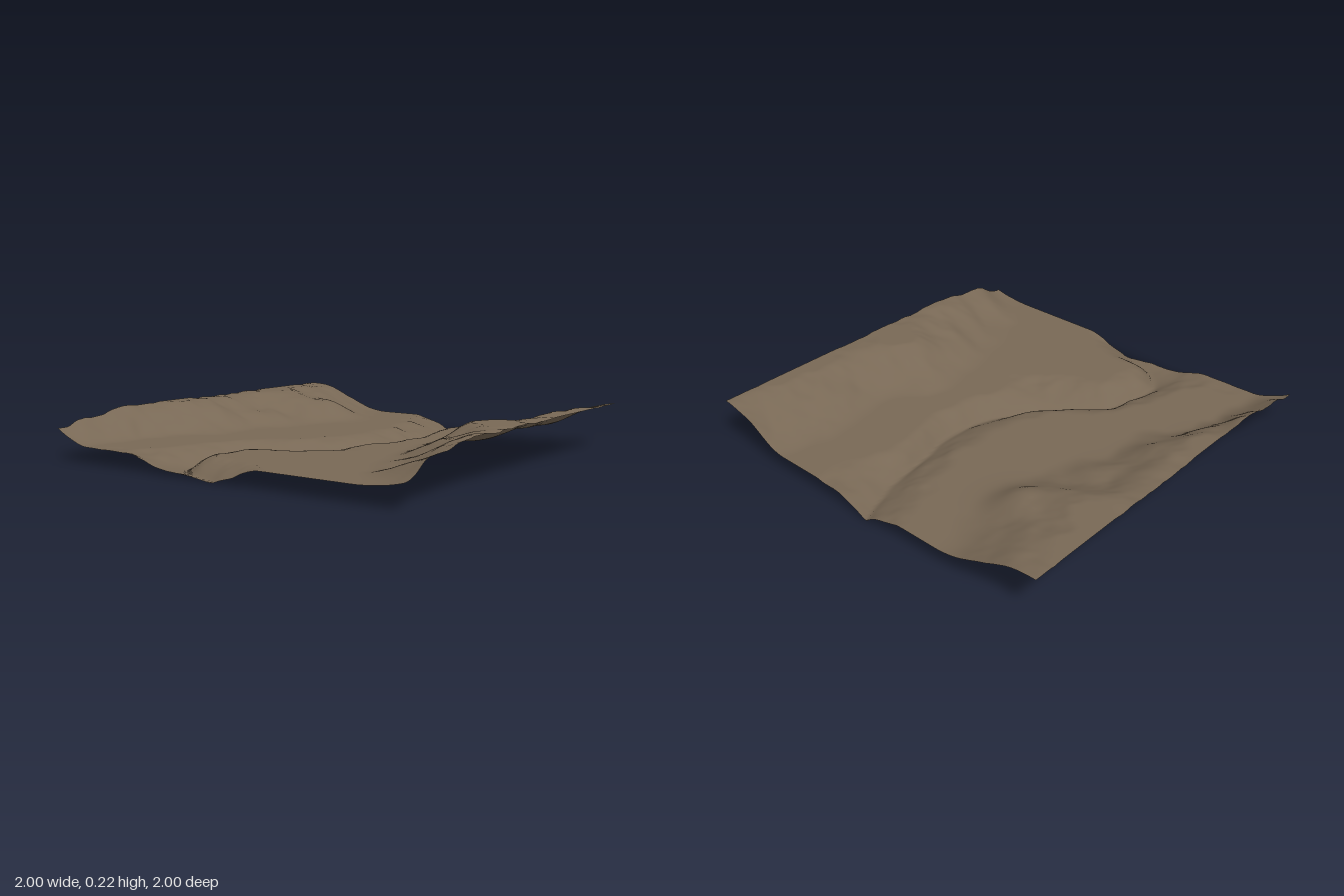
import * as THREE from 'three';

const PLAIN = 0.08, RISE = 0.145;

// Slopes given at nine stations from z = -1 to z = 1: foot and crest of each hillside
const leftFoot = [-0.4, -0.36, -0.32, -0.44, -0.5, -0.58, -0.68, -0.75, -0.74];
const leftCrest = [-1.02, -0.98, -0.9, -0.97, -0.98, -1.0, -1.02, -1.04, -1.12];
const rightFoot = [0.56, 0.55, 0.57, 0.52, 0.46, 0.5, 0.58, 0.66, 0.78];
const rightCrest = [1.04, 1.04, 1.0, 0.95, 0.9, 0.94, 1.0, 1.1, 1.45];

// Spurs and hollows on the hillsides: x, z, radius, height
const spurs = [
  [-0.53, -0.56, 0.13, 0.055], [-0.75, -0.3, 0.12, -0.025], [-0.66, -0.1, 0.1, 0.02],
  [-0.74, 0.12, 0.1, 0.025], [-0.85, 0.42, 0.1, 0.02], [0.76, 0.06, 0.15, 0.025]
];

// Winding stream bed
const stream = new THREE.CatmullRomCurve3([
  [-0.03, -1.12], [0.03, -0.95], [0.1, -0.75], [0.145, -0.55], [0.185, -0.3], [0.15, -0.05],
  [0.05, 0.15], [-0.06, 0.29], [-0.25, 0.47], [-0.285, 0.62], [-0.3, 0.8],
  [-0.2, 0.92], [-0.06, 0.97], [0.08, 1.05]
].map(([x, z]) => new THREE.Vector3(x, 0, z))).getSpacedPoints(160);

const smooth = (t) => {
  t = Math.min(1, Math.max(0, t));
  return t * t * (3 - 2 * t);
};

function station(list, z) {
  const f = Math.min(7.9999, Math.max(0, (z + 1) * 4));
  const i = Math.floor(f);
  return THREE.MathUtils.lerp(list[i], list[i + 1], smooth(f - i));
}

// Seeded value noise, summed in octaves, in the range -1 to 1
function hash(i, j) {
  let h = Math.imul(i, 374761393) + Math.imul(j, 668265263) + 1013;
  h = Math.imul(h ^ (h >>> 13), 1274126177);
  return ((h ^ (h >>> 16)) >>> 0) / 2147483648 - 1;
}

function noise(x, z) {
  const i = Math.floor(x), j = Math.floor(z);
  const u = smooth(x - i), v = smooth(z - j);
  const { lerp } = THREE.MathUtils;
  return lerp(lerp(hash(i, j), hash(i + 1, j), u), lerp(hash(i, j + 1), hash(i + 1, j + 1), u), v);
}

function fbm(x, z) {
  return 0.6 * noise(x, z) + 0.28 * noise(2 * x + 7, 2 * z + 3) + 0.12 * noise(4 * x + 1, 4 * z + 9);
}

// Height of the channel wall: a crease at the bed, easing out to the plain
function channel(x, z) {
  x += 0.012 * noise(x * 9 + 5, z * 9);
  let best = Infinity, side = 1;
  for (let i = 0; i < stream.length - 1; i++) {
    const a = stream[i], b = stream[i + 1];
    const dx = b.x - a.x, dz = b.z - a.z;
    const t = Math.min(1, Math.max(0, ((x - a.x) * dx + (z - a.z) * dz) / (dx * dx + dz * dz)));
    const px = x - a.x - t * dx, pz = z - a.z - t * dz;
    const d = Math.hypot(px, pz);
    if (d < best) {
      best = d;
      side = px * dz - pz * dx;
    }
  }
  // Gentle banks: inside the lower bend, at the upstream end, and at the mouth
  const gentle = Math.exp(-(((z - 0.4) / 0.2) ** 2));
  const mouth = smooth((z - 0.72) / 0.28);
  const rightBank = 0.12 + 0.16 * gentle + 0.14 * smooth((-0.6 - z) / 0.4) + 0.06 * mouth;
  const leftBank = 0.15 + 0.06 * smooth((0.2 - z) / 0.5) + 0.28 * mouth;
  const width = (side > 0 ? rightBank : leftBank) * (1 + 0.4 * fbm(x * 7, z * 7));
  const t = Math.min(1, Math.max(0, best - 0.008) / width);
  return PLAIN * (1 - (1 - t) ** 1.7);
}

function height(x, z) {
  // Broad gullies shift the hillsides in and out
  const shift = 0.1 * fbm(x * 2 + 3, z * 3.6 - x * 1.6);
  const lf = station(leftFoot, z), rf = station(rightFoot, z);
  const tl = (lf - x + shift) / (lf - station(leftCrest, z));
  const tr = (x - rf + shift) / (station(rightCrest, z) - rf);
  const hill = smooth(Math.max(tl, tr));
  let y = channel(x, z) + RISE * hill + 0.04 * fbm(x * 5 + 11, z * 7) * hill * (1 - 0.5 * hill);
  for (const [sx, sz, r, h] of spurs) y += h * Math.exp(-((x - sx) ** 2 + (z - sz) ** 2) / (r * r));
  return Math.min(PLAIN + RISE, y);
}

export function createModel() {
  const model = new THREE.Group();
  model.name = 'valleyTerrain';

  // Square sheet raised into a valley
  const geometry = new THREE.PlaneGeometry(2, 2, 140, 140).rotateX(-Math.PI / 2);
  const p = geometry.attributes.position;
  for (let i = 0; i < p.count; i++) p.setY(i, height(p.getX(i), p.getZ(i)));
  geometry.computeVertexNormals();

  const ground = new THREE.Mesh(geometry, new THREE.MeshStandardMaterial({
    color: 0x786855, side: THREE.DoubleSide
  }));
  ground.name = 'valleyGround';
  model.add(ground);
  return model;
}
